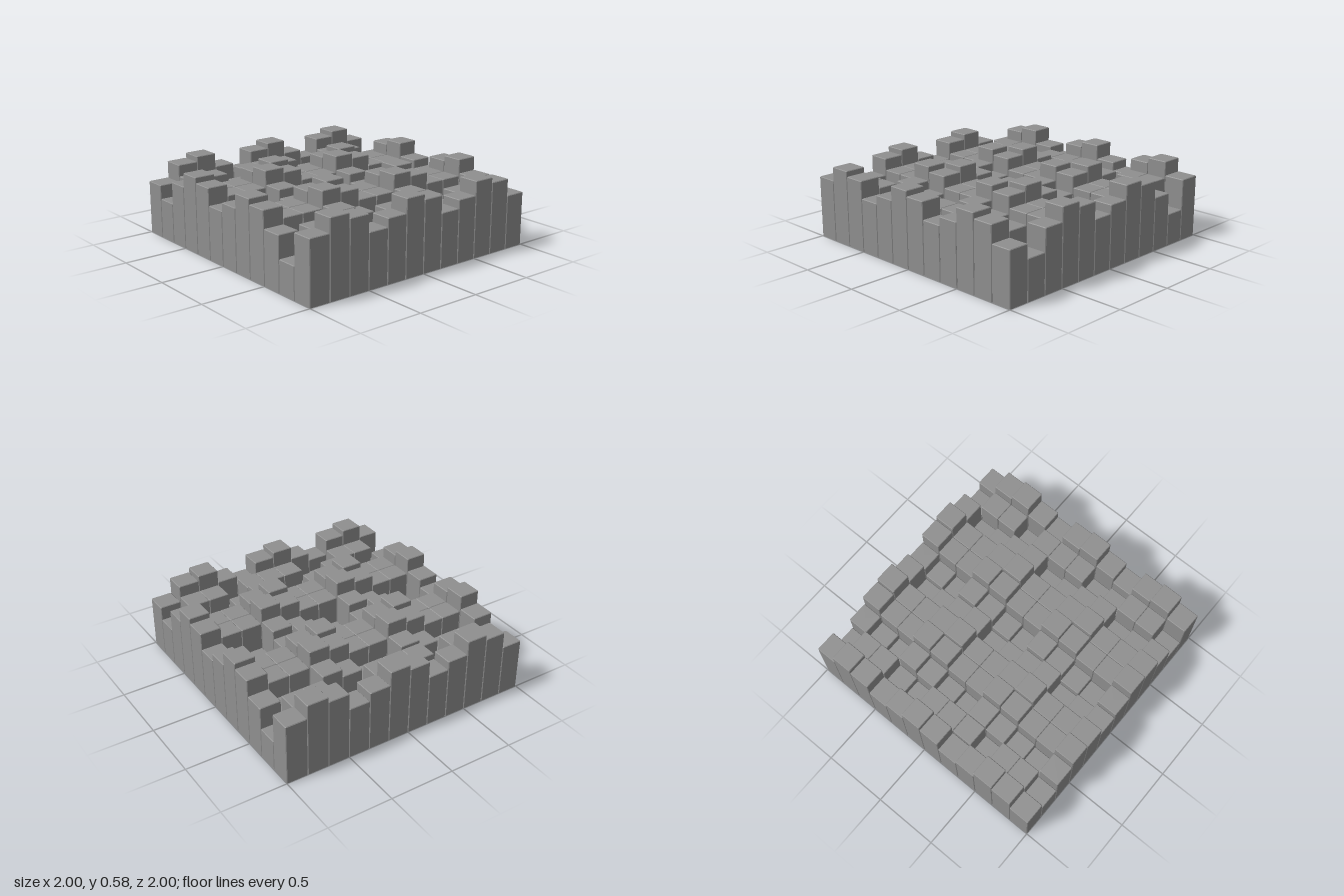
import * as THREE from 'three';

const N = 12, PITCH = 2 / N, BEVEL = 0.005;

// Heights of one 4 x 4 mound, rows from front to back
const MOUND = [
  [0.305, 0.453, 0.453, 0.243],
  [0.41, 0.54, 0.58, 0.474],
  [0.474, 0.58, 0.54, 0.41],
  [0.243, 0.453, 0.453, 0.305],
];
// Half mound on the right border, turned a quarter; the left border is its half turn
const HALF = [[0.243, 0.474], [0.453, 0.58], [0.453, 0.54], [0.305, 0.41]];

function heightAt(col, row) {
  if ((col === 10 && row === 7) || (col === 1 && row === 4)) return 0.453;
  if (col >= 10) return HALF[row % 4][col - 10];
  if (col <= 1) return HALF[(N - 1 - row) % 4][1 - col];
  return MOUND[(row + 2) % 4][(col - 2) % 4];
}

// Square section with chamfered corners
function section(half, y) {
  const c = half - BEVEL;
  return [[half, -c], [half, c], [c, half], [-c, half], [-half, c], [-half, -c], [-c, -half], [c, -half]]
    .map(([x, z]) => [x, y, z]);
}

// Hollow block, open underneath, with a bevelled top
function blockGeometry(h) {
  const half = PITCH / 2 - 0.0005;
  const rings = [section(half, 0), section(half, h - BEVEL), section(half - BEVEL * 0.9, h)];
  const pos = [];
  const tri = (...points) => points.forEach((p) => pos.push(...p));
  for (let k = 0; k < 8; k++) {
    const n = (k + 1) % 8;
    for (let l = 0; l < 2; l++) {
      tri(rings[l][k], rings[l + 1][k], rings[l + 1][n]);
      tri(rings[l][k], rings[l + 1][n], rings[l][n]);
    }
    tri([0, h, 0], rings[2][n], rings[2][k]);
  }
  const geometry = new THREE.BufferGeometry();
  geometry.setAttribute('position', new THREE.Float32BufferAttribute(pos, 3));
  geometry.computeVertexNormals();
  return geometry;
}

export function createModel() {
  const model = new THREE.Group();
  model.name = 'blockField';
  const material = new THREE.MeshStandardMaterial({
    color: 0x8f8f8f, flatShading: true, side: THREE.DoubleSide,
  });
  const cache = new Map();

  for (let row = 0; row < N; row++) {
    const line = new THREE.Group();
    line.name = `blockRow${row + 1}`;
    line.position.z = 1 - (row + 0.5) * PITCH;
    for (let col = 0; col < N; col++) {
      const h = heightAt(col, row);
      if (!cache.has(h)) cache.set(h, blockGeometry(h));
      const block = new THREE.Mesh(cache.get(h), material);
      block.name = 'block';
      block.position.x = -1 + (col + 0.5) * PITCH;
      line.add(block);
    }
    model.add(line);
  }
  return model;
}
